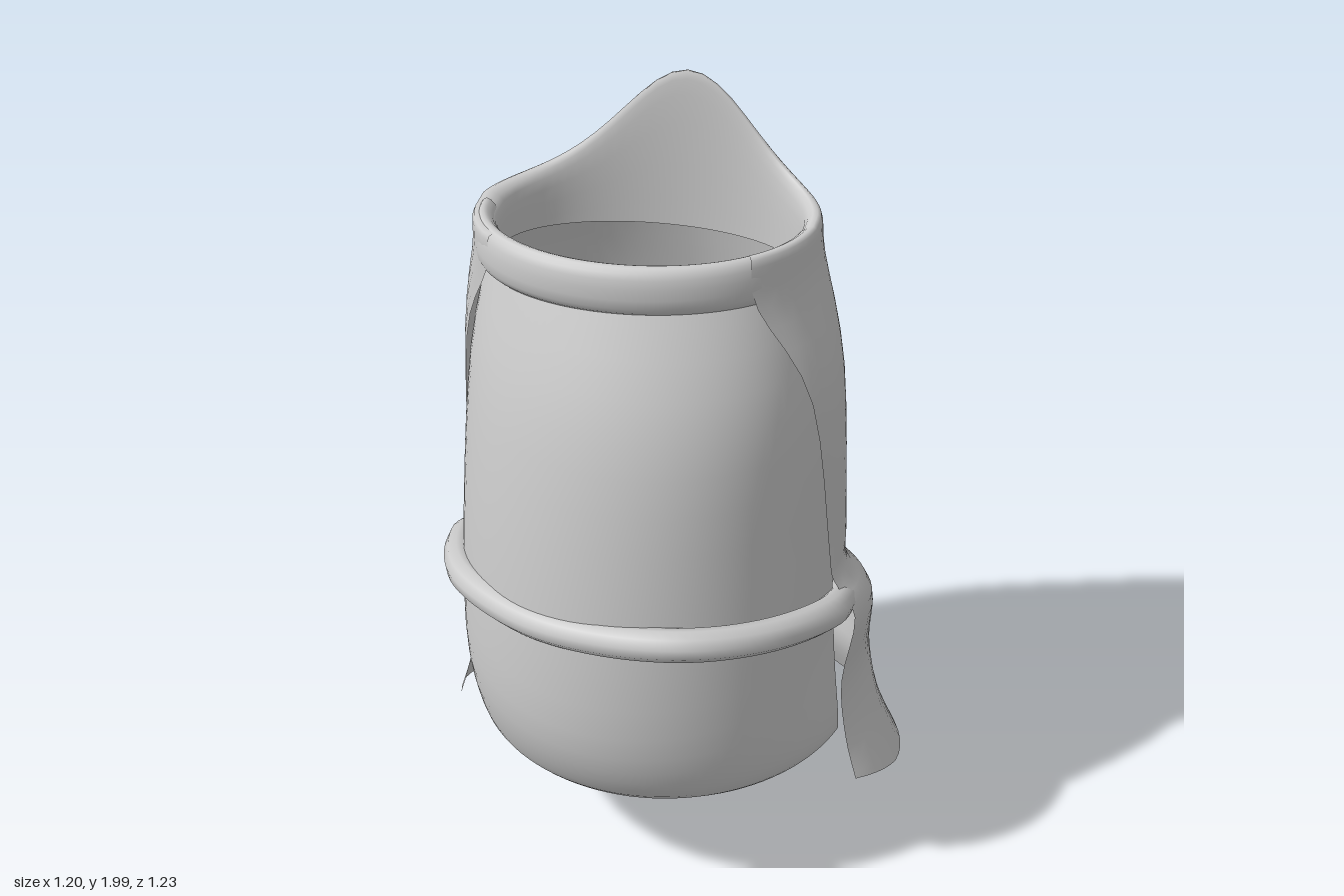
import * as THREE from 'three';

const material = new THREE.MeshStandardMaterial({ color: 0xcccccc, side: THREE.DoubleSide });

// Catmull-Rom blend of whole rows of ring parameters
function blendRows(rows, steps) {
  const out = [];
  const at = i => rows[Math.min(Math.max(i, 0), rows.length - 1)];
  for (let i = 0; i < rows.length - 1; i++) {
    for (let s = 0; s < steps; s++) {
      const u = s / steps;
      out.push(rows[i].map((b, j) => {
        const a = at(i - 1)[j], c = at(i + 1)[j], d = at(i + 2)[j];
        return b + 0.5 * u * (c - a + u * (2 * a - 5 * b + 4 * c - d + u * (3 * (b - c) + d - a)));
      }));
    }
  }
  out.push(rows[rows.length - 1]);
  return out;
}

// Loft of open rings around a middle angle (0 = back, PI = front).
// Row: centre x, half width, centre z, back depth, front depth, back point, half sweep,
// y at the sides, y at the back, y at the front, back peak height, sideways tilt, plan skew
function loft(name, rows, middle, steps = 4, segs = 48) {
  const rings = blendRows(rows, steps), pos = [], index = [];
  rings.forEach(([xc, w, zc, d, f, k, sweep, ySide, yBack, yFront, peak, tilt, skew], r) => {
    for (let i = 0; i <= segs; i++) {
      const a = middle + (2 * i / segs - 1) * sweep;
      const sin = Math.sin(a), cos = Math.cos(a);
      const back = cos > 0;
      const c = back ? (1 - k) * cos + k * (1 - Math.abs(sin)) : -cos;
      // all back points line up on one ridge
      const x = xc + w * sin + (back ? (-0.045 - xc) * cos * cos : 0);
      const y = ySide + c * ((back ? yBack : yFront) - ySide) + tilt * x
        + (back ? peak * Math.exp(-((sin / 0.53) ** 2)) : 0);
      pos.push(x, y, (back ? zc - d * c : zc + f * c) + skew * w * sin);
      if (r && i) {
        const p = r * (segs + 1) + i, q = p - segs - 1;
        index.push(q - 1, q, p, q - 1, p, p - 1);
      }
    }
  });
  const geo = new THREE.BufferGeometry();
  geo.setAttribute('position', new THREE.Float32BufferAttribute(pos, 3));
  geo.setIndex(index);
  geo.computeVertexNormals();
  const mesh = new THREE.Mesh(geo, material);
  mesh.name = name;
  return mesh;
}

export function createModel() {
  const group = new THREE.Group();
  group.name = 'forearmGuard';

  // Back shell: inner lip, peaked rim, long sleeve, then folded and flared skirt
  group.add(loft('backShell', [
    [-0.055, 0.345, 0.10, 0.21, 0.22, 0, 2.25, 1.62, 1.60, 1.62, 0, 0, -0.1],
    [-0.055, 0.350, 0.10, 0.220, 0.23, 0, 2.25, 1.73, 1.73, 1.73, 0.21, 0.04, -0.1],
    [-0.060, 0.392, 0.10, 0.240, 0.27, 0, 2.28, 1.75, 1.74, 1.75, 0.24, 0.04, -0.1],
    [-0.060, 0.405, 0.10, 0.295, 0.27, 0, 2.25, 1.65, 1.66, 1.63, 0.08, 0, -0.08],
    [-0.055, 0.465, 0.10, 0.360, 0.25, 0.05, 1.96, 1.38, 1.40, 1.38, 0, 0, 0],
    [-0.055, 0.487, 0.10, 0.445, 0.25, 0.15, 1.80, 0.95, 0.98, 0.95, 0, 0, 0],
    [-0.050, 0.490, 0.10, 0.505, 0.36, 0.25, 1.72, 0.82, 0.65, 0.88, 0, 0.05, 0],
    [-0.045, 0.548, 0.08, 0.600, 0.46, 0.32, 1.75, 0.71, 0.50, 0.79, 0, 0.07, 0],
    [-0.030, 0.524, 0.05, 0.660, 0.50, 0.30, 1.84, 0.53, 0.30, 0.60, 0, 0.03, 0],
    [-0.015, 0.545, 0.05, 0.605, 0.50, 0.30, 1.90, 0.37, 0.15, 0.45, 0, 0.03, 0],
    [0, 0.600, 0.05, 0.665, 0.50, 0.30, 2.0, 0.19, 0.002, 0.45, 0, 0.04, 0],
  ], 0));

  // Bulging front panel with a rolled-in, slightly tilted lower lip
  group.add(loft('frontPanel', [
    [-0.060, 0.360, 0.10, 0.2, 0.25, 0, 1.45, 1.66, 1.66, 1.66, 0, 0, -0.08],
    [-0.055, 0.430, 0.10, 0.2, 0.385, 0, 1.50, 1.38, 1.38, 1.38, 0, 0, 0],
    [-0.050, 0.465, 0.10, 0.2, 0.47, 0, 1.50, 1.00, 1.00, 1.00, 0, 0, 0],
    [-0.040, 0.490, 0.10, 0.2, 0.515, 0, 1.45, 0.64, 0.64, 0.60, 0, 0.02, 0],
    [-0.020, 0.498, 0.10, 0.2, 0.475, 0, 1.40, 0.43, 0.43, 0.40, 0, 0.05, 0],
    [-0.015, 0.492, 0.10, 0.2, 0.40, 0, 1.38, 0.375, 0.375, 0.315, 0, 0.06, 0],
    [-0.015, 0.470, 0.10, 0.2, 0.36, 0, 1.38, 0.39, 0.39, 0.34, 0, 0.06, 0],
  ], Math.PI));

  // Rounded collar band across the front of the opening, its ends sunk in the shell
  const collar = [
    [0.345, 0.22, 1.62], [0.345, 0.225, 1.72], [0.37, 0.25, 1.755],
    [0.389, 0.277, 1.73], [0.393, 0.28, 1.66], [0.375, 0.25, 1.625],
  ].map(([w, f, y]) => [-0.06, w, 0.10, 0.2, f, 0, 1.5, y, y, y, 0, 0.03, -0.1]);
  group.add(loft('collar', collar, Math.PI, 3));

  // Cord over the front panel, its ends running into the fold of the shell
  const cordPath = new THREE.CatmullRomCurve3([
    [-0.535, 0.70, 0.06], [-0.53, 0.765, 0.20], [-0.42, 0.835, 0.42], [-0.2, 0.865, 0.55],
    [0, 0.885, 0.58], [0.2, 0.90, 0.55], [0.35, 0.875, 0.43], [0.445, 0.82, 0.24], [0.44, 0.75, 0.06],
  ].map(p => new THREE.Vector3(...p)));
  const cord = new THREE.Mesh(new THREE.TubeGeometry(cordPath, 56, 0.04, 10), material);
  cord.name = 'frontCord';
  group.add(cord);

  return group;
}
